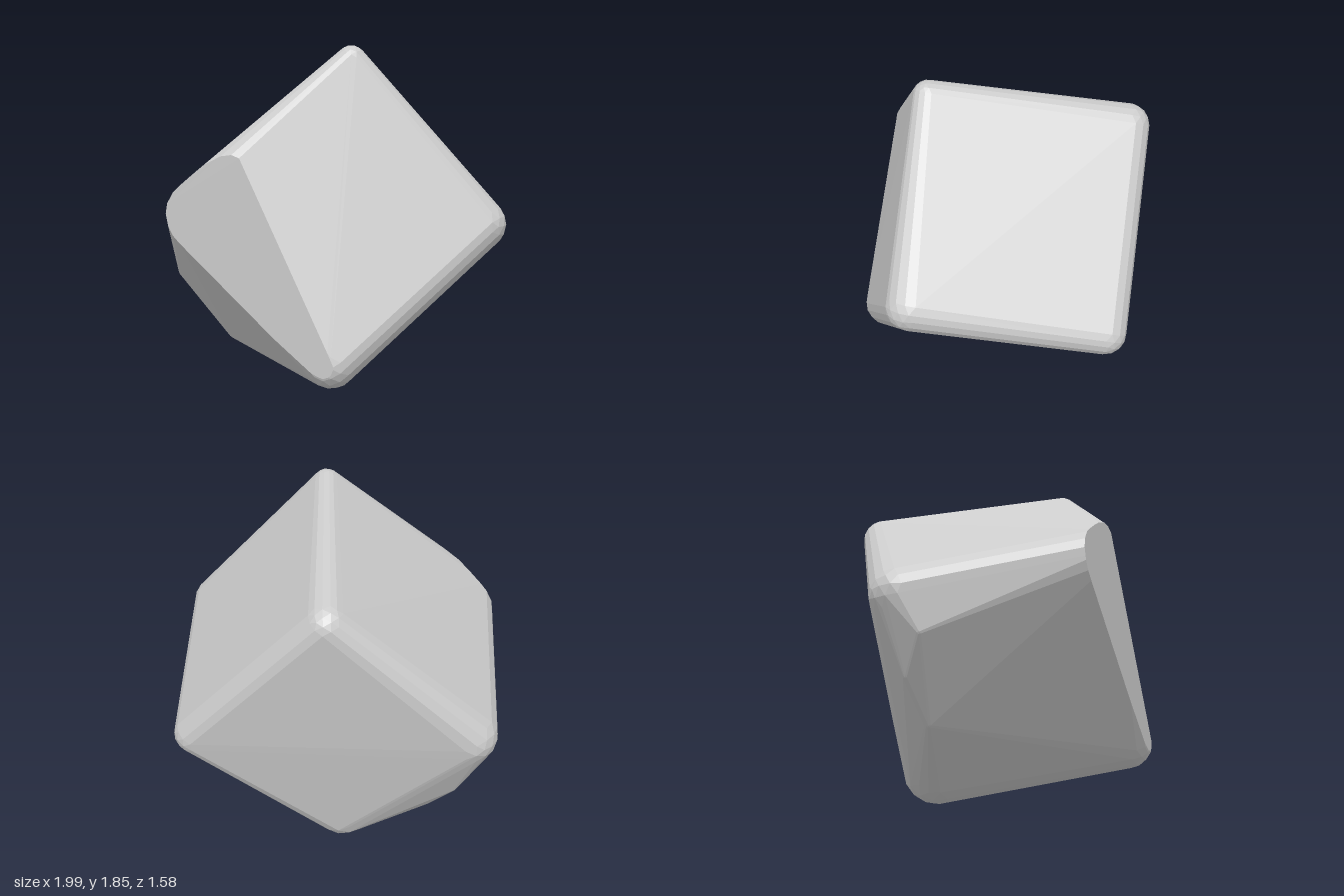
import * as THREE from 'three';
import { ConvexGeometry } from 'three/addons/geometries/ConvexGeometry.js';

// Rounded corners of a tilted block: centre x, y, z and radius
const CORNERS = [
  [0.245, 1.785, 0.365, 0.075],  // top
  [-0.27, 1.535, -0.505, 0.11],  // top back
  [0.87, 0.975, 0.18, 0.125],    // left side
  [0.425, 0.745, -0.68, 0.11],   // back
  [-0.85, 0.82, -0.065, 0.15],   // right side
  [-0.4, 1.06, 0.815, 0.145],    // front, sliced away below
  [0.26, 0.33, 0.675, 0.13],     // front bottom
  [-0.185, 0.17, -0.19, 0.17],   // bottom
  [-0.6, 0.25, -0.02, 0.03],     // bulge along the lower right edge
  [-0.77, 0.44, -0.05, 0.03],
  [-0.87, 0.6, 0.06, 0.03],
];
const CUT_Z = 0.79;

function readPoints(geometry) {
  const pos = geometry.attributes.position;
  return Array.from({ length: pos.count }, (_, i) => new THREE.Vector3().fromBufferAttribute(pos, i));
}

// Drops repeated points so the hull stays clean
function unique(points) {
  const seen = new Map();
  for (const p of points) seen.set(p.toArray().map((v) => Math.round(v * 1e4)).join(), p);
  return [...seen.values()];
}

function cornerPoints([x, y, z, r]) {
  return unique(readPoints(new THREE.IcosahedronGeometry(r, 2).translate(x, y, z)));
}

// Keeps the points behind the plane and adds those where triangle edges cross it
function sliceFront(points, cutZ) {
  const kept = points.filter((p) => p.z <= cutZ);
  for (let i = 0; i < points.length; i += 3) {
    for (let k = 0; k < 3; k++) {
      const a = points[i + k];
      const b = points[i + ((k + 1) % 3)];
      if ((a.z - cutZ) * (b.z - cutZ) < 0) {
        const p = a.clone().lerp(b, (cutZ - a.z) / (b.z - a.z));
        p.z = cutZ;
        kept.push(p);
      }
    }
  }
  return unique(kept);
}

export function createModel() {
  const group = new THREE.Group();
  group.name = 'slicedBlock';

  // Solid block stretched over its rounded corners, with a flat front slice
  const whole = new ConvexGeometry(CORNERS.flatMap(cornerPoints));
  const block = new THREE.Mesh(
    new ConvexGeometry(sliceFront(readPoints(whole), CUT_Z)),
    new THREE.MeshStandardMaterial({ color: 0xcccccc, flatShading: true }),
  );
  block.name = 'roundedBlock';
  group.add(block);
  return group;
}
